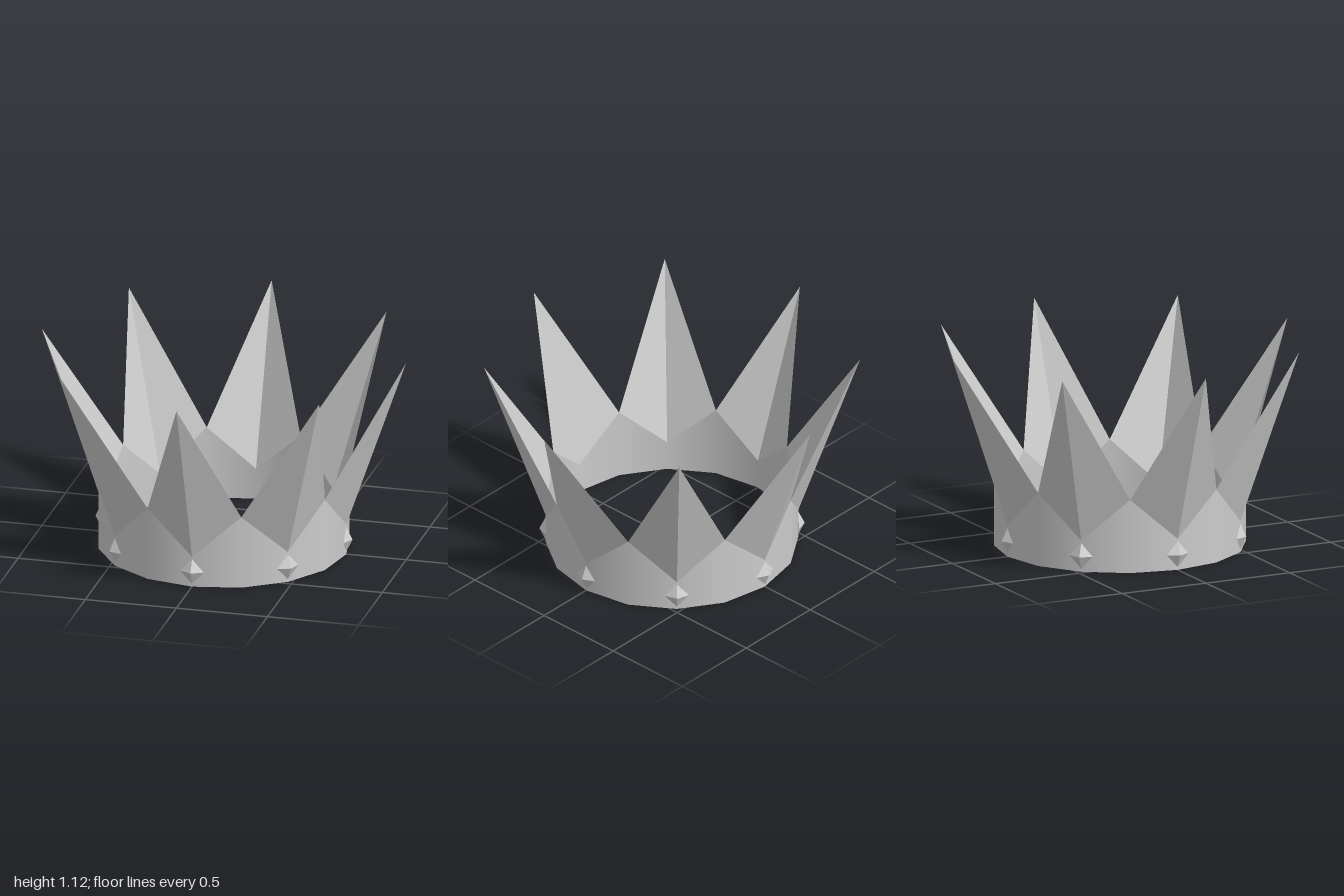
import * as THREE from 'three';

const POINTS = 8, RADIUS = 0.672, VALLEY = 0.4, DIP = 0.17;
const TIP_RADIUS = 1, TIP_HEIGHT = 1.12;

export function createModel() {
  const crown = new THREE.Group();
  crown.name = 'crown';
  const smooth = new THREE.MeshStandardMaterial({ color: 0xcccccc, side: THREE.DoubleSide });
  const faceted = new THREE.MeshStandardMaterial({ color: 0xcccccc, side: THREE.DoubleSide, flatShading: true });

  // Band: open 16-sided ring whose top edge zigzags between the spikes
  const bandGeo = new THREE.CylinderGeometry(RADIUS, RADIUS, 1, POINTS * 2, 1, true);
  const pos = bandGeo.attributes.position;
  for (let i = 0; i < pos.count; i++) {
    const column = i % (POINTS * 2 + 1);
    const top = column % 2 ? VALLEY : DIP;
    pos.setY(i, pos.getY(i) > 0 ? top : 0);
  }
  const band = new THREE.Mesh(bandGeo, smooth);
  band.name = 'band';
  crown.add(band);

  // Spike: two thin triangles folded along the centre line
  const half = Math.PI / POINTS;
  const sx = RADIUS * Math.sin(half), sz = RADIUS * Math.cos(half);
  const left = [sx, VALLEY, sz], right = [-sx, VALLEY, sz];
  const base = [0, DIP, RADIUS], tip = [0, TIP_HEIGHT, TIP_RADIUS];
  const spikeGeo = new THREE.BufferGeometry();
  spikeGeo.setAttribute('position', new THREE.Float32BufferAttribute(
    [base, left, tip, base, tip, right].flat(), 3));
  spikeGeo.computeVertexNormals();

  // Gem: shallow four-sided pyramid pointing outward
  const gemGeo = new THREE.ConeGeometry(1, 1, 4)
    .translate(0, 0.5, 0)
    .rotateX(Math.PI / 2)
    .scale(0.065, 0.07, 0.033)
    .translate(0, 0.086, RADIUS);

  for (let i = 0; i < POINTS; i++) {
    const angle = (i / POINTS) * Math.PI * 2;
    for (const [name, geo] of [['spike', spikeGeo], ['gem', gemGeo]]) {
      const part = new THREE.Mesh(geo, faceted);
      part.name = name + (i + 1);
      part.rotation.y = angle;
      crown.add(part);
    }
  }
  return crown;
}
